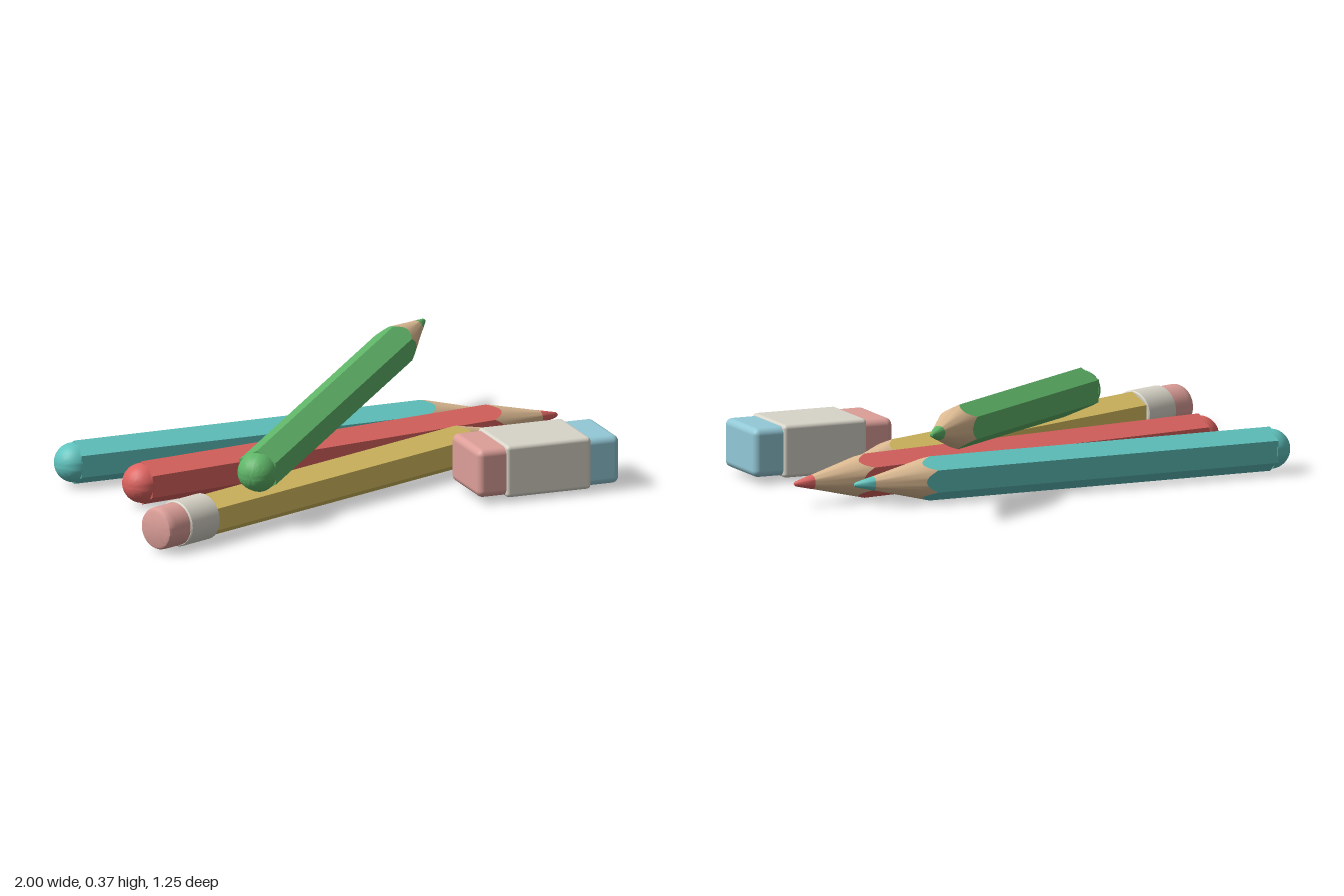
import * as THREE from 'three';
import { toCreasedNormals } from 'three/addons/utils/BufferGeometryUtils.js';
import { RoundedBoxGeometry } from 'three/addons/geometries/RoundedBoxGeometry.js';

const material = (name, color) => new THREE.MeshStandardMaterial({ name, color });

const SEG = 48;
const RADIUS = 0.078;                 // hexagon corner radius
const APOTHEM = RADIUS * Math.cos(Math.PI / 6);
const CONE = 0.29, LEAD = 0.07, LEAD_R = 0.025;

// Hexagon outline with a corner pointing up
const hex = (t) => APOTHEM / Math.cos((t % (Math.PI / 3)) - Math.PI / 6);

// Joins rings along x; each ring is a function angle -> [x, radius]
function loft(rings) {
  const pos = [], index = [];
  rings.forEach((ring, i) => {
    for (let j = 0; j < SEG; j++) {
      const t = (j / SEG) * Math.PI * 2;
      const [x, r] = ring(t);
      pos.push(x, r * Math.cos(t), r * Math.sin(t));
      if (i === 0) continue;
      const k = (j + 1) % SEG, p = (i - 1) * SEG, q = i * SEG;
      index.push(p + j, p + k, q + j, p + k, q + k, q + j);
    }
  });
  const g = new THREE.BufferGeometry();
  g.setAttribute('position', new THREE.Float32BufferAttribute(pos, 3));
  g.setIndex(index);
  return toCreasedNormals(g, 0.6);
}

// Round profile from a list of [x, radius] points
const turned = (points) => loft(points.map((p) => () => p));

function add(group, name, geometry, mat) {
  const mesh = new THREE.Mesh(geometry, mat);
  mesh.name = name;
  group.add(mesh);
  return mesh;
}

function pencil(name, end, tip, paint, lead, wood, rubber) {
  const group = new THREE.Group();
  group.name = name;
  const d = new THREE.Vector3(...tip).sub(new THREE.Vector3(...end));
  const length = d.length();
  const coneStart = length - CONE, leadStart = length - LEAD;
  const slope = (RADIUS - LEAD_R) / (leadStart - coneStart);
  // Sharpened cone meets the hexagon in a scalloped line
  const edge = (t) => [coneStart + (RADIUS - hex(t)) / slope, hex(t)];
  const start = rubber ? 0.23 : 0.07;

  add(group, 'body', loft([() => [start, 0], (t) => [start, hex(t)], edge]), paint);
  add(group, 'sharpenedWood', loft([edge, () => [leadStart, LEAD_R - 0.001], () => [leadStart, 0]]), wood);
  const tipR = rubber ? 0.013 : 0.009;
  add(group, 'lead', turned([[leadStart - 0.002, 0], [leadStart - 0.002, LEAD_R],
    [length - 0.006, tipR], [length, tipR * 0.5], [length, 0]]), lead);

  if (rubber) {
    // Metal sleeve and rubber end
    add(group, 'ferrule', turned([[0.1, 0], [0.1, 0.077], [0.104, 0.081], [0.236, 0.081],
      [0.24, 0.077], [0.24, 0]]), rubber.ferrule);
    add(group, 'rubberEnd', turned([[0, 0], [0, 0.06], [0.004, 0.069], [0.014, 0.074],
      [0.03, 0.075], [0.105, 0.075]]), rubber.pink);
  } else {
    // Domed end
    const dome = [];
    for (let i = 0; i <= 10; i++) {
      const a = (i / 10) * Math.PI / 2;
      dome.push([0.07 - 0.07 * Math.cos(a), 0.07 * Math.sin(a)]);
    }
    dome.push([0.075, 0.07], [0.075, 0]);
    add(group, 'domedEnd', turned(dome), paint);
  }

  group.position.set(...end);
  group.rotation.set(0, Math.atan2(-d.z, d.x), Math.asin(d.y / length), 'YZX');
  return group;
}

export function createModel() {
  const yellow = material('yellow paint', 0xdcc163);
  const green = material('green paint', 0x5fb568);
  const red = material('red paint', 0xdd6460);
  const teal = material('teal paint', 0x60c4bf);
  const wood = material('bare wood', 0xdcba92);
  const graphite = material('graphite', 0x37343f);
  const pink = material('pink rubber', 0xdd9f99);
  const blue = material('blue rubber', 0x92c8d6);
  const white = material('off white', 0xd8d4c8);

  const model = new THREE.Group();
  model.name = 'pencilsAndEraser';
  model.add(
    pencil('yellowPencil', [-0.99, 0.081, 0.285], [0.75, 0.081, 0.04], yellow, graphite, wood,
      { ferrule: white, pink }),
    pencil('redPencil', [-0.74, 0.081, -0.22], [1.0, 0.081, -0.04], red, red, wood),
    pencil('tealPencil', [-0.77, 0.081, -0.58], [0.85, 0.081, -0.185], teal, teal, wood),
    pencil('greenPencil', [-0.57, 0.19, 0.277], [0.848, 0.317, -0.606], green, green, wood),
  );

  // Block eraser: two rubber ends in a paper sleeve
  const eraser = new THREE.Group();
  eraser.name = 'blockEraser';
  const block = (name, x0, x1, h, w, r, mat) => {
    add(eraser, name, new RoundedBoxGeometry(x1 - x0, h, w, 4, r), mat).position.x = (x0 + x1) / 2;
  };
  block('pinkEnd', -0.265, -0.1, 0.172, 0.258, 0.024, pink);
  block('blueEnd', 0.1, 0.265, 0.172, 0.258, 0.024, blue);
  block('paperSleeve', -0.162, 0.155, 0.186, 0.272, 0.014, white);
  eraser.position.set(0.55, 0.108, 0.432);
  eraser.rotation.y = -0.262;
  model.add(eraser);
  return model;
}
